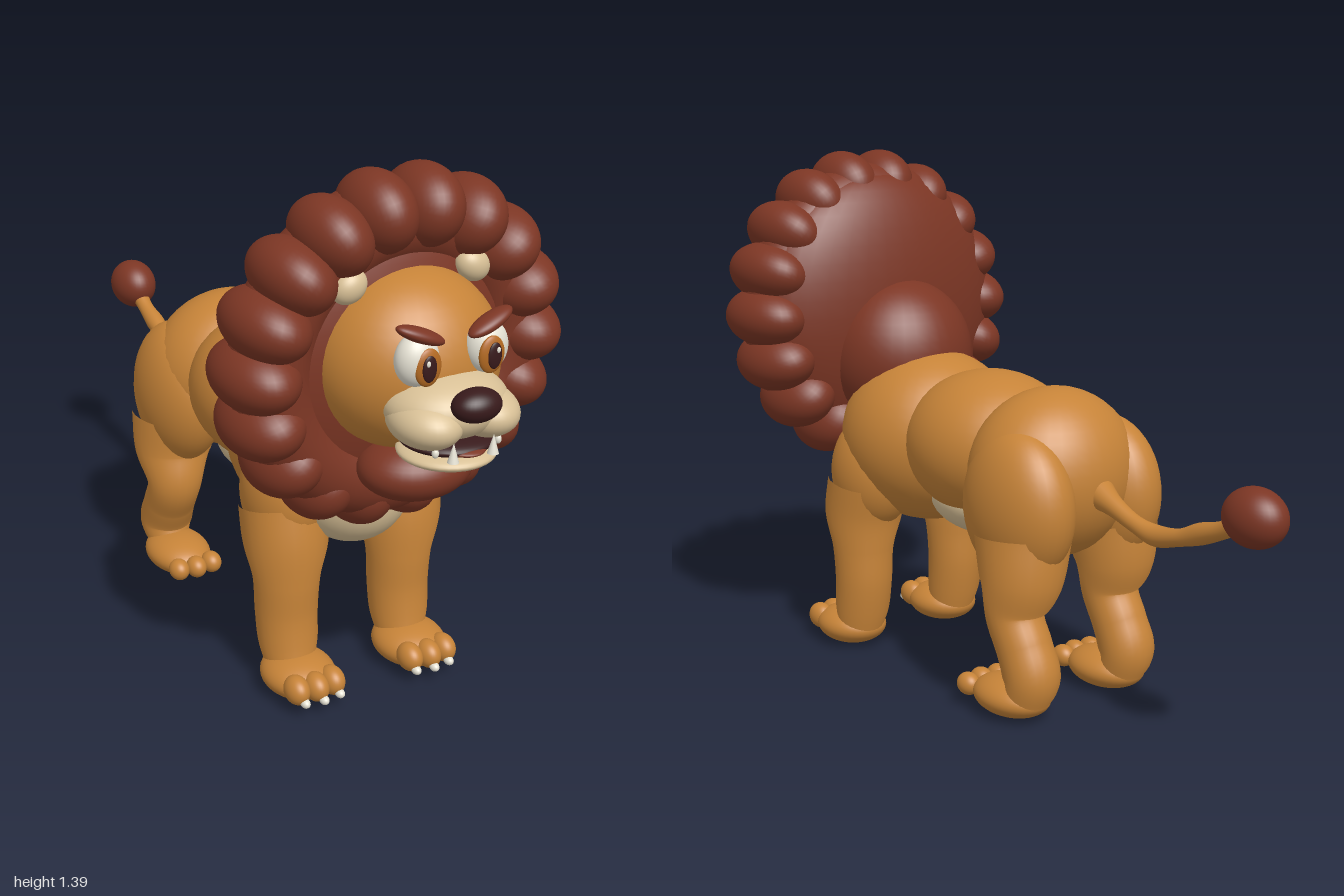
import * as THREE from 'three';

const paint = (name, color) => {
  const m = new THREE.MeshStandardMaterial({ color });
  m.name = name;
  return m;
};

export function createModel() {
  const fur = paint('goldenFur', 0xc68338);
  const maneFur = paint('maneBrown', 0x7c3624);
  const cream = paint('cream', 0xd8c096);
  const dark = paint('darkBrown', 0x381a1b);
  const white = paint('ivory', 0xe6e2d4);
  const amber = paint('amber', 0xb46a22);

  const model = new THREE.Group();
  model.name = 'lion';
  const group = (name) => {
    const g = new THREE.Group();
    g.name = name;
    model.add(g);
    return g;
  };

  const ball = new THREE.SphereGeometry(1, 36, 24);
  const blob = (parent, name, mat, pos, radii, rot = [0, 0, 0]) => {
    const m = new THREE.Mesh(ball, mat);
    m.name = name;
    m.position.set(...pos);
    m.scale.set(...radii);
    m.rotation.set(...rot);
    parent.add(m);
    return m;
  };

  // Tube with varying radius through points [x, y, z, radius]
  const limb = (parent, name, mat, pts, seg = 40) => {
    const curve = new THREE.CatmullRomCurve3(pts.map((p) => new THREE.Vector3(p[0], p[1], p[2])));
    const radii = new THREE.CatmullRomCurve3(pts.map((p, i) => new THREE.Vector3(i, p[3], 0)));
    const geo = new THREE.TubeGeometry(curve, seg, 1, 24);
    const pos = geo.attributes.position;
    const v = new THREE.Vector3();
    for (let i = 0; i <= seg; i++) {
      const c = curve.getPointAt(i / seg);
      const r = radii.getPoint(curve.getUtoTmapping(i / seg)).y;
      for (let j = 0; j <= 24; j++) {
        const k = i * 25 + j;
        v.fromBufferAttribute(pos, k).sub(c).multiplyScalar(r).add(c);
        pos.setXYZ(k, v.x, v.y, v.z);
      }
    }
    geo.computeBoundingSphere();
    const m = new THREE.Mesh(geo, mat);
    m.name = name;
    parent.add(m);
  };

  // Torso
  const body = group('body');
  blob(body, 'chest', fur, [0, 0.62, 0.3], [0.25, 0.24, 0.25]);
  blob(body, 'barrel', fur, [0, 0.64, 0.03], [0.225, 0.2, 0.25]);
  blob(body, 'rump', fur, [0, 0.61, -0.22], [0.235, 0.222, 0.2]);
  blob(body, 'chestPatch', cream, [0, 0.535, 0.43], [0.152, 0.148, 0.155]);
  blob(body, 'bellyPatch', cream, [0, 0.49, 0.03], [0.15, 0.095, 0.19]);

  // Legs, mirrored left and right
  for (const s of [1, -1]) {
    const side = s > 0 ? 'left' : 'right';
    const x = 0.165 * s;
    const front = group(side + 'FrontLeg');
    blob(front, 'shoulder', fur, [0.155 * s, 0.52, 0.37], [0.105, 0.16, 0.13]);
    limb(front, 'leg', fur, [
      [x, 0.5, 0.38, 0.11], [x, 0.4, 0.4, 0.108], [x, 0.3, 0.405, 0.086],
      [x, 0.2, 0.405, 0.08], [x, 0.12, 0.415, 0.076], [x, 0.05, 0.43, 0.06],
    ]);
    blob(front, 'paw', fur, [x, 0.054, 0.47], [0.094, 0.054, 0.108]);

    const hind = group(side + 'HindLeg');
    blob(hind, 'thigh', fur, [0.148 * s, 0.55, -0.26], [0.115, 0.2, 0.175]);
    limb(hind, 'leg', fur, [
      [0.15 * s, 0.48, -0.28, 0.125], [0.16 * s, 0.37, -0.285, 0.108], [x, 0.27, -0.267, 0.077],
      [x, 0.19, -0.305, 0.073], [x, 0.12, -0.333, 0.074], [x, 0.055, -0.315, 0.055],
    ]);
    blob(hind, 'paw', fur, [x, 0.052, -0.255], [0.088, 0.052, 0.118]);

    for (const t of [-1, 0, 1]) {
      const tx = x + t * 0.05;
      const out = t === 0 ? 0.008 : 0;
      blob(front, 'toe', fur, [tx, 0.062, 0.555 + out], [0.031, 0.037, 0.042]);
      blob(front, 'claw', white, [tx * 0.98, 0.043, 0.592 + out], [0.012, 0.012, 0.016]);
      blob(hind, 'toe', fur, [tx, 0.058, -0.138 + out], [0.028, 0.03, 0.034]);
    }
  }

  // Tail with gentle knuckles
  const tail = group('tail');
  const path = [[0.59, -0.39], [0.565, -0.45], [0.535, -0.53], [0.522, -0.6], [0.535, -0.68], [0.56, -0.75], [0.585, -0.82], [0.625, -0.89]];
  limb(tail, 'tailStem', fur, path.map(([y, z], i) => [0, y, z, i === 0 ? 0.045 : i % 2 ? 0.027 : 0.022]), 56);
  blob(tail, 'tailTuft', maneFur, [0, 0.635, -0.915], [0.066, 0.072, 0.086]);

  // Mane: ring of lumps, domed back and neck ruff
  const mane = group('mane');
  blob(mane, 'maneBack', maneFur, [0, 0.95, 0.555], [0.39, 0.39, 0.155]);
  blob(mane, 'neckRuff', maneFur, [0, 0.83, 0.45], [0.212, 0.215, 0.205]);
  const lumps = 18;
  for (let i = 0; i < lumps; i++) {
    const a = (i / lumps) * Math.PI * 2;
    const c = Math.cos(a), s = Math.sin(a);
    blob(mane, 'maneLump', maneFur, [0.35 * c, 0.95 + 0.352 * s, 0.59 + 0.032 * s],
      [0.097, 0.083, 0.122 + 0.022 * c * c], [0, 0, a]);
  }
  const ring = new THREE.Mesh(new THREE.TorusGeometry(0.31, 0.1, 24, 60), maneFur);
  ring.name = 'maneRing';
  ring.position.set(0, 0.95, 0.59);
  mane.add(ring);
  blob(mane, 'beard', maneFur, [0, 0.708, 0.72], [0.142, 0.078, 0.118]);

  // Head and muzzle
  const head = group('head');
  blob(head, 'skull', fur, [0, 0.96, 0.66], [0.228, 0.216, 0.21]);
  blob(head, 'muzzle', cream, [0, 0.91, 0.83], [0.148, 0.078, 0.13]);
  blob(head, 'mouth', dark, [0, 0.832, 0.845], [0.112, 0.024, 0.108]);
  blob(head, 'tongue', maneFur, [0, 0.829, 0.86], [0.066, 0.015, 0.104]);
  blob(head, 'jaw', cream, [0, 0.799, 0.845], [0.114, 0.026, 0.113]);
  blob(head, 'nose', dark, [0, 0.945, 0.953], [0.06, 0.038, 0.044]);

  // Paired face parts
  for (const s of [1, -1]) {
    blob(head, 'cheek', cream, [0.074 * s, 0.89, 0.865], [0.08, 0.058, 0.102]);
    blob(head, 'ear', cream, [0.162 * s, 1.155, 0.68], [0.045, 0.038, 0.035], [0, 0, -0.6 * s]);
    blob(head, 'eyeWhite', white, [0.09 * s, 1.03, 0.85], [0.052, 0.061, 0.042]);
    blob(head, 'iris', amber, [0.082 * s, 1.022, 0.884], [0.033, 0.044, 0.012]);
    blob(head, 'pupil', dark, [0.084 * s, 1.022, 0.894], [0.018, 0.031, 0.006]);
    blob(head, 'eyeGlint', white, [0.09 * s, 1.036, 0.899], [0.005, 0.007, 0.003]);
    blob(head, 'brow', maneFur, [0.09 * s, 1.09, 0.862], [0.062, 0.017, 0.028], [0, 0.12 * s, 0.38 * s]);
    const fang = new THREE.Mesh(new THREE.ConeGeometry(0.013, 0.046, 16), white);
    fang.name = 'fang';
    fang.position.set(0.052 * s, 0.842, 0.95);
    head.add(fang);
    blob(head, 'tooth', white, [0.082 * s, 0.836, 0.925], [0.008, 0.011, 0.008]);
  }
  return model;
}
